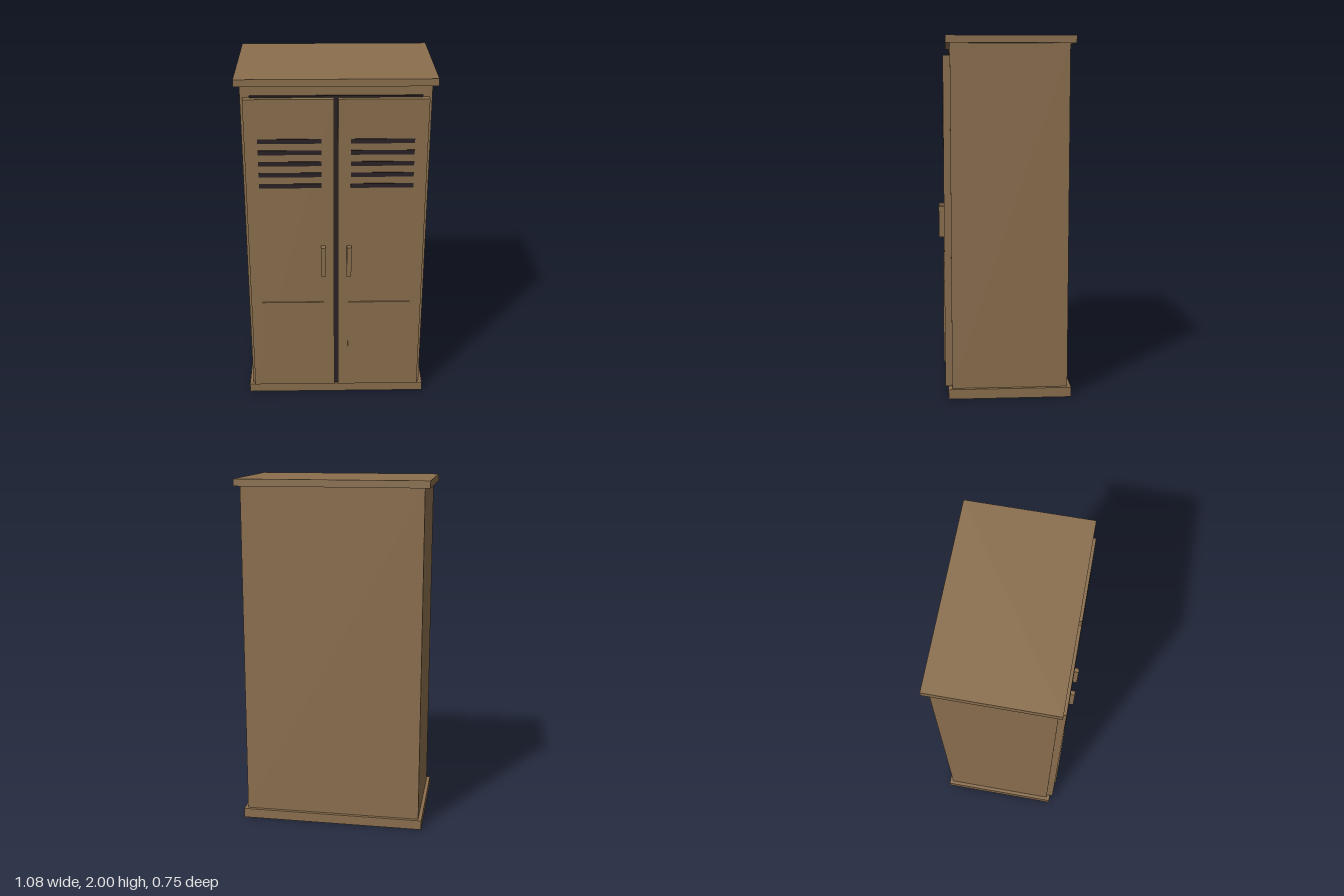
import * as THREE from 'three';

export function createModel() {
  const model = new THREE.Group();
  model.name = 'locker';

  const brown = new THREE.MeshStandardMaterial({ color: 0x8b6f4e });
  brown.name = 'brown';
  const dark = new THREE.MeshStandardMaterial({ color: 0x2a2226 });
  dark.name = 'dark';

  // Box given by its extents along each axis
  function box(name, material, [x0, x1], [y0, y1], [z0, z1], parent = model) {
    const mesh = new THREE.Mesh(new THREE.BoxGeometry(x1 - x0, y1 - y0, z1 - z0), material);
    mesh.position.set((x0 + x1) / 2, (y0 + y1) / 2, (z0 + z1) / 2);
    mesh.name = name;
    parent.add(mesh);
  }

  // Carcass
  box('base', brown, [-0.53, 0.53], [0, 0.055], [-0.365, 0.322]);
  box('body', brown, [-0.51, 0.51], [0.055, 1.96], [-0.345, 0.302]);
  box('top', brown, [-0.54, 0.54], [1.96, 2], [-0.375, 0.325]);

  // Dark recess seen around and between the doors
  box('doorGap', dark, [-0.46, 0.46], [0.056, 1.906], [0.302, 0.311]);

  // Doors, mirrored about the centre
  for (const side of [-1, 1]) {
    const door = new THREE.Group();
    door.name = side > 0 ? 'leftDoor' : 'rightDoor';
    model.add(door);
    const span = (a, b) => (side > 0 ? [a, b] : [-b, -a]);

    box('doorLeaf', brown, span(0.011, 0.495), [0.066, 1.896], [0.302, 0.34], door);
    box('lowerPanel', brown, span(0.07, 0.431), [0.19, 0.656], [0.34, 0.347], door);
    box('handle', brown, span(0.06, 0.086), [0.843, 1.027], [0.34, 0.371], door);

    // Vent slots
    for (let i = 0; i < 5; i++) {
      const y = 1.4 + i * 0.0653;
      box('ventSlot', dark, span(0.08, 0.424), [y - 0.013, y + 0.013], [0.336, 0.343], door);
    }
  }

  return model;
}
